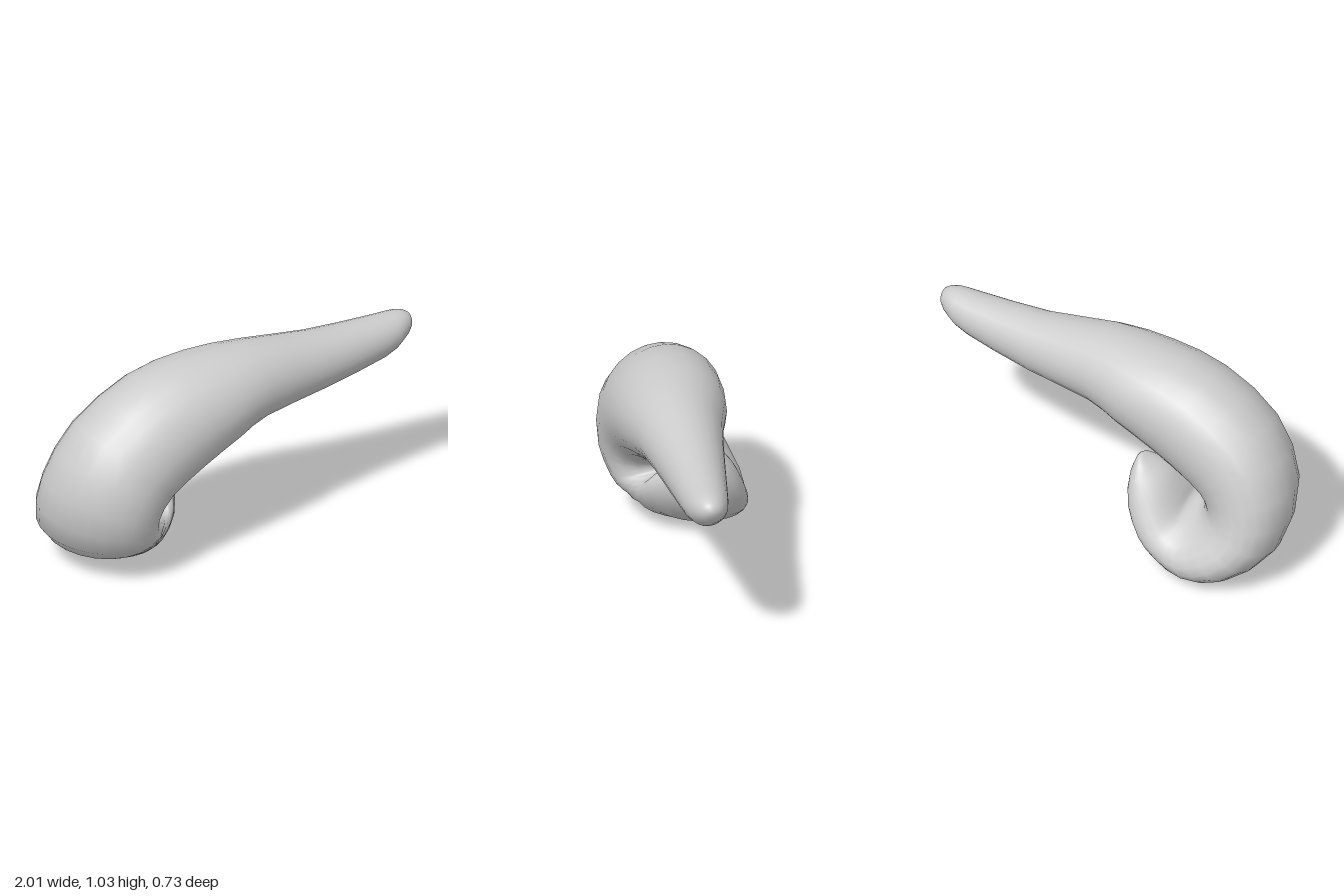
import * as THREE from 'three';
import { mergeVertices } from 'three/addons/utils/BufferGeometryUtils.js';

const vec = (x, y, z) => new THREE.Vector3(x, y, z);

// Upright sections from the thin tip to the bend:
// outer x, y, inner x, y, depth z, half width
const BODY = [
  [1.0, 0.87, 1.0, 0.87, -0.21, 0],
  [0.985, 0.91, 0.975, 0.82, -0.21, 0.045],
  [0.93, 0.935, 0.92, 0.772, -0.2, 0.08],
  [0.81, 0.938, 0.81, 0.72, -0.18, 0.108],
  [0.45, 0.962, 0.45, 0.66, -0.12, 0.15],
  [0.1, 1.02, 0.1, 0.63, -0.05, 0.205],
  [-0.2, 1.03, -0.05, 0.58, -0.015, 0.255],
  [-0.51, 0.985, -0.25, 0.49, 0.03, 0.278],
  [-0.82, 0.8, -0.42, 0.4, 0.07, 0.285],
].map(([ox, oy, ix, iy, z, w]) => ({
  outer: vec(ox, oy, z),
  inner: vec(ix, iy, z),
  width: vec(-0.17, 0, -1).multiplyScalar(w),
}));

// Tilted sections of the curl: outer point, inner point, half width vector towards the back
const CURL = [
  [[-0.985, 0.5, 0.06], [-0.48, 0.35, 0.09], [-0.05, 0.03, -0.28]],
  [[-0.97, 0.21, -0.02], [-0.49, 0.32, 0.07], [-0.08, 0.05, -0.265]],
  [[-0.81, 0.055, -0.15], [-0.48, 0.31, 0.06], [-0.08, 0.03, -0.26]],
  [[-0.6, 0.0, -0.17], [-0.46, 0.32, -0.02], [-0.08, 0, -0.25]],
  [[-0.43, 0.075, -0.21], [-0.45, 0.36, -0.05], [-0.08, -0.03, -0.22]],
  [[-0.33, 0.19, -0.26], [-0.44, 0.4, -0.1], [-0.07, -0.05, -0.17]],
  [[-0.265, 0.33, -0.275], [-0.4, 0.47, -0.15], [-0.05, -0.05, -0.115]],
  [[-0.255, 0.465, -0.255], [-0.33, 0.52, -0.2], [-0.03, -0.04, -0.065]],
  [[-0.28, 0.557, -0.22], [-0.28, 0.557, -0.22], [0, 0, 0]],
].map(([o, i, w]) => ({ outer: vec(...o), inner: vec(...i), width: vec(...w) }));

const SIDES = 24;
const STEPS = 2;

function tailGeometry() {
  const sections = [...BODY, ...CURL];
  // Smooth paths along the outer edge, the inner edge and the widths
  const [outer, inner, width] = ['outer', 'inner', 'width'].map(
    (key) => new THREE.CatmullRomCurve3(sections.map((s) => s[key]), false, 'catmullrom', 0.5)
  );
  const rings = (sections.length - 1) * STEPS;
  const positions = [], index = [];

  for (let r = 0; r <= rings; r++) {
    const t = r / rings;
    const o = outer.getPoint(t), i = inner.getPoint(t), b = width.getPoint(t);
    const c = o.clone().add(i).multiplyScalar(0.5);
    const a = o.sub(c);
    for (let s = 0; s < SIDES; s++) {
      const angle = (s / SIDES) * Math.PI * 2;
      const p = c.clone().addScaledVector(a, Math.cos(angle)).addScaledVector(b, Math.sin(angle));
      positions.push(p.x, p.y, p.z);
      if (r === rings) continue;
      const next = (s + 1) % SIDES, k = r * SIDES;
      // Skip the collapsed triangles at both tips
      if (r > 0) index.push(k + s, k + next, k + SIDES + s);
      if (r < rings - 1) index.push(k + next, k + SIDES + next, k + SIDES + s);
    }
  }
  const geometry = new THREE.BufferGeometry();
  geometry.setAttribute('position', new THREE.Float32BufferAttribute(positions, 3));
  geometry.setIndex(index);
  const merged = mergeVertices(geometry, 1e-4);
  merged.computeVertexNormals();
  return merged;
}

export function createModel() {
  const group = new THREE.Group();
  group.name = 'curledTail';
  const tail = new THREE.Mesh(tailGeometry(), new THREE.MeshStandardMaterial({ color: 0xcccccc }));
  tail.name = 'tail';
  group.add(tail);
  return group;
}
